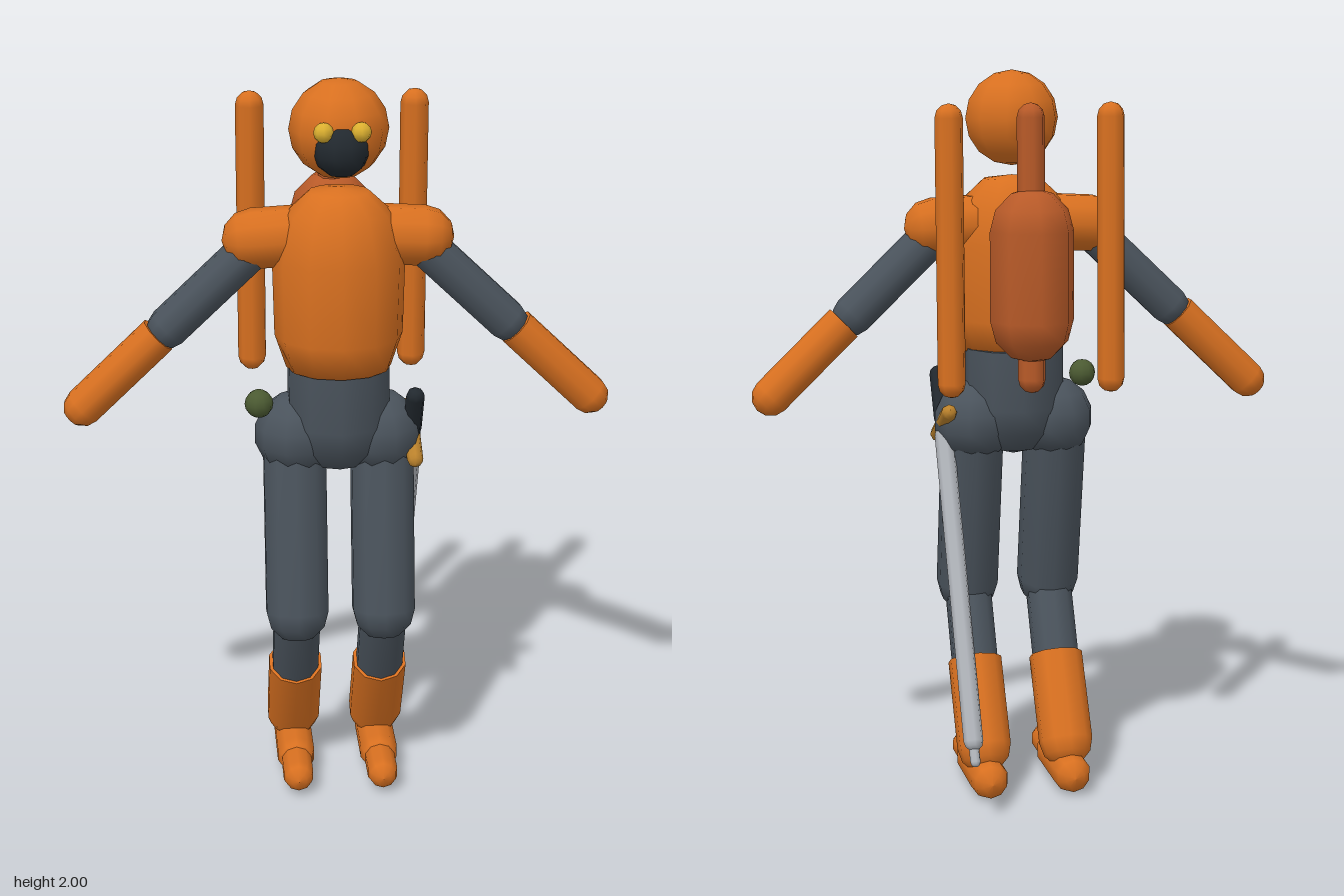
import * as THREE from 'three';

const mat = (name, color) => {
  const m = new THREE.MeshStandardMaterial({ color });
  m.name = name;
  return m;
};

export function createModel() {
  const model = new THREE.Group();
  model.name = 'armouredFigure';

  const orange = mat('orange', 0xd87020);
  const rust = mat('rust', 0xb85a28);
  const slate = mat('slate', 0x4a535c);
  const dark = mat('dark', 0x22292f);
  const yellow = mat('yellow', 0xdcb030);
  const silver = mat('silver', 0xb0b4ba);
  const olive = mat('olive', 0x4b5a32);
  const brass = mat('brass', 0xbb822c);

  const add = (name, geometry, material) => {
    const mesh = new THREE.Mesh(geometry, material);
    mesh.name = name;
    model.add(mesh);
    return mesh;
  };

  // Rod from a to b with rounded ends reaching r past each point; flatStart cuts the first end square
  const limb = (name, a, b, r, material, { flatStart = false, sides = 10 } = {}) => {
    const from = new THREE.Vector3(...a), dir = new THREE.Vector3(...b).sub(from);
    const length = dir.length(), steps = 3, pts = [];
    if (flatStart) {
      pts.push(new THREE.Vector2(0, 0), new THREE.Vector2(r, 0), new THREE.Vector2(r, 0));
    } else {
      for (let i = 0; i <= steps; i++) {
        const t = (i / steps) * Math.PI / 2;
        pts.push(new THREE.Vector2(r * Math.sin(t), -r * Math.cos(t)));
      }
    }
    for (let i = 0; i <= steps; i++) {
      const t = (i / steps) * Math.PI / 2;
      pts.push(new THREE.Vector2(i === steps ? 0 : r * Math.cos(t), length + r * Math.sin(t)));
    }
    const mesh = add(name, new THREE.LatheGeometry(pts, sides), material);
    mesh.position.copy(from);
    mesh.quaternion.setFromUnitVectors(new THREE.Vector3(0, 1, 0), dir.normalize());
    return mesh;
  };

  const ball = (name, p, r, material, w = 10, h = 7) => {
    const mesh = add(name, new THREE.SphereGeometry(r, w, h), material);
    mesh.position.set(...p);
    return mesh;
  };

  // Head and face
  ball('head', [0, 1.87, 0.155], 0.13, orange, 10, 8);
  ball('faceMask', [0, 1.835, 0.232], 0.075, dark);

  // Torso and waist
  const chest = [[0, 1.23], [0.14, 1.23], [0.17, 1.32], [0.175, 1.53], [0.14, 1.65], [0.08, 1.705], [0, 1.715]];
  const torso = add('torso', new THREE.LatheGeometry(chest.map(p => new THREE.Vector2(...p)), 12), orange);
  torso.position.z = 0.155;
  torso.scale.z = 0.92;
  limb('waist', [0, 1.24, 0.14], [0, 1.075, 0.14], 0.14, slate, { flatStart: true });

  // Back tank with its centre pipe
  limb('backTank', [0, 1.345, -0.098], [0, 1.585, -0.095], 0.115, rust, { sides: 8 });
  limb('centrePipe', [0, 1.185, -0.096], [0, 1.885, -0.078], 0.038, rust, { sides: 8 });

  for (const s of [1, -1]) {
    const side = s > 0 ? 'left' : 'right';

    ball(side + 'Eye', [s * 0.048, 1.885, 0.275], 0.026, yellow, 8, 6);
    limb(side + 'BackPole', [s * 0.22, 1.18, -0.096], [s * 0.22, 1.885, -0.075], 0.038, orange, { sides: 8 });

    // Arm
    limb(side + 'Shoulder', [s * 0.1, 1.585, 0.14], [s * 0.225, 1.578, 0.14], 0.08, orange);
    limb(side + 'UpperArm', [s * 0.22, 1.56, 0.145], [s * 0.45, 1.34, 0.138], 0.056, slate);
    limb(side + 'Forearm', [s * 0.475, 1.32, 0.137], [s * 0.68, 1.123, 0.132], 0.053, orange, { flatStart: true });

    // Leg
    ball(side + 'Hip', [s * 0.112, 1.035, 0.135], 0.115, slate);
    limb(side + 'Thigh', [s * 0.118, 1.01, 0.135], [s * 0.118, 0.55, 0.22], 0.088, slate);
    limb(side + 'Shin', [s * 0.118, 0.54, 0.215], [s * 0.118, 0.3, 0.095], 0.066, slate);
    limb(side + 'Boot', [s * 0.118, 0.345, 0.115], [s * 0.118, 0.128, -0.012], 0.076, orange, { flatStart: true });
    limb(side + 'Foot', [s * 0.118, 0.055, -0.082], [s * 0.118, 0.055, 0.12], 0.054, orange);
    limb(side + 'Toe', [s * 0.118, 0.052, 0.1], [s * 0.118, 0.052, 0.237], 0.043, orange);
  }

  // Belt items
  ball('beltBall', [-0.215, 1.145, 0.205], 0.038, olive, 10, 8);

  // Sword hung on the left hip
  limb('swordHandle', [0.2, 1.155, 0.208], [0.2, 1.04, 0.145], 0.025, dark, { sides: 8 });
  limb('swordGuard', [0.2, 0.982, 0.222], [0.2, 1.075, 0.05], 0.022, brass, { sides: 8 });
  limb('swordBlade', [0.2, 0.995, 0.125], [0.2, 0.235, -0.268], 0.027, silver, { sides: 8 });
  limb('swordTip', [0.2, 0.235, -0.268], [0.2, 0.185, -0.294], 0.014, silver, { sides: 8 });

  return model;
}
